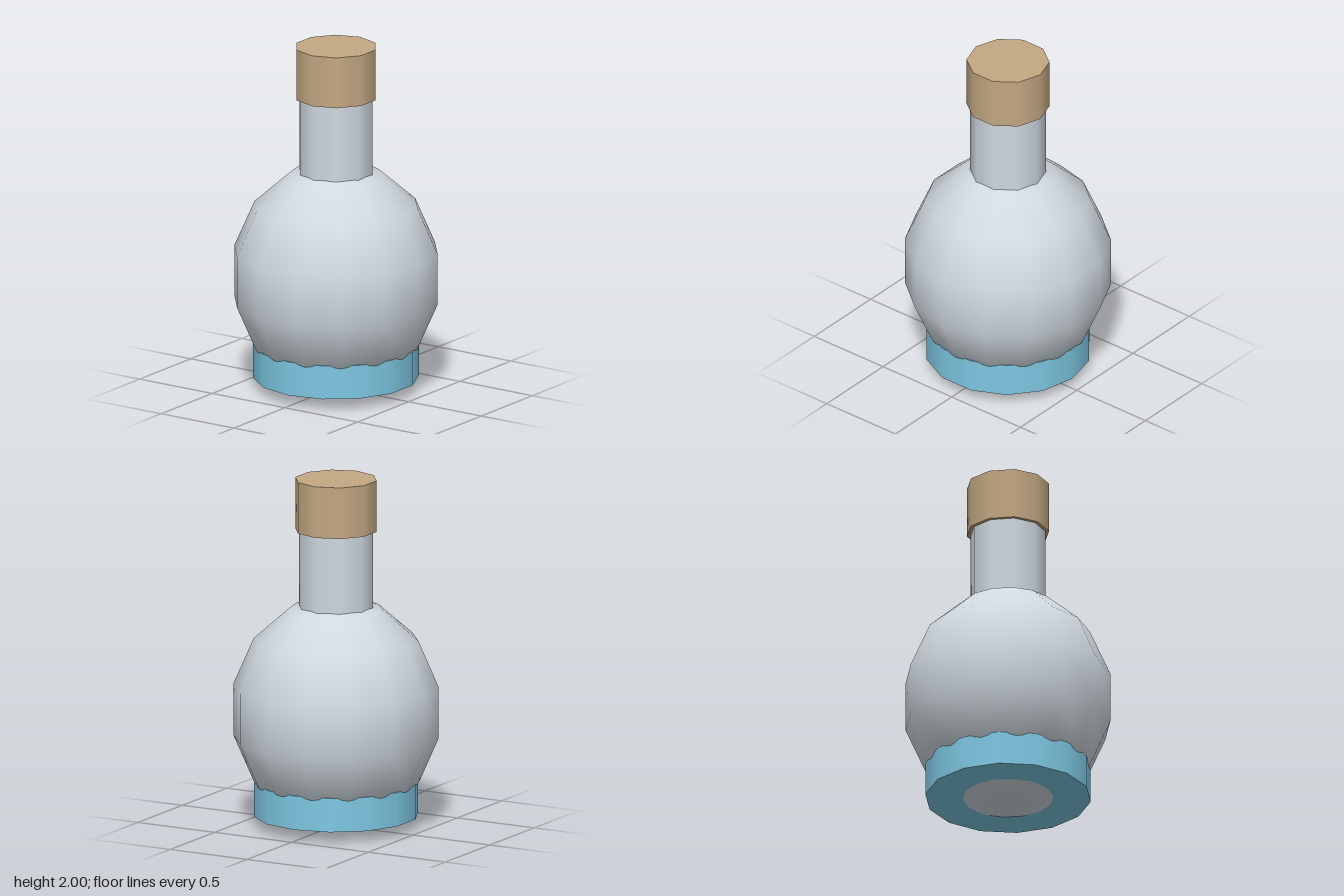
import * as THREE from 'three';

function material(name, color) {
  const m = new THREE.MeshStandardMaterial({ color });
  m.name = name;
  return m;
}

export function createModel() {
  const flask = new THREE.Group();
  flask.name = 'flask';
  const glass = material('pale glass', 0xd0d9e0);
  const liquid = material('light blue', 0x7ec8e3);
  const cork = material('tan cork', 0xc4a882);

  const add = (name, geometry, mat, y) => {
    const mesh = new THREE.Mesh(geometry, mat);
    mesh.name = name;
    mesh.position.y = y;
    flask.add(mesh);
    return mesh;
  };
  // Upright closed cylinder between two heights
  const drum = (name, radius, bottom, top, sides, mat) =>
    add(name, new THREE.CylinderGeometry(radius, radius, top - bottom, sides), mat, (bottom + top) / 2);

  // Slightly tall round body with few segments, its tip showing below the base
  const body = add('body', new THREE.SphereGeometry(0.595, 14, 7), glass, 0.66);
  body.scale.y = 0.66 / 0.595;

  drum('baseBand', 0.468, 0.065, 0.26, 14, liquid);
  drum('neck', 0.214, 1.2, 1.72, 10, glass);
  drum('stopper', 0.234, 1.705, 2, 10, cork);

  return flask;
}
